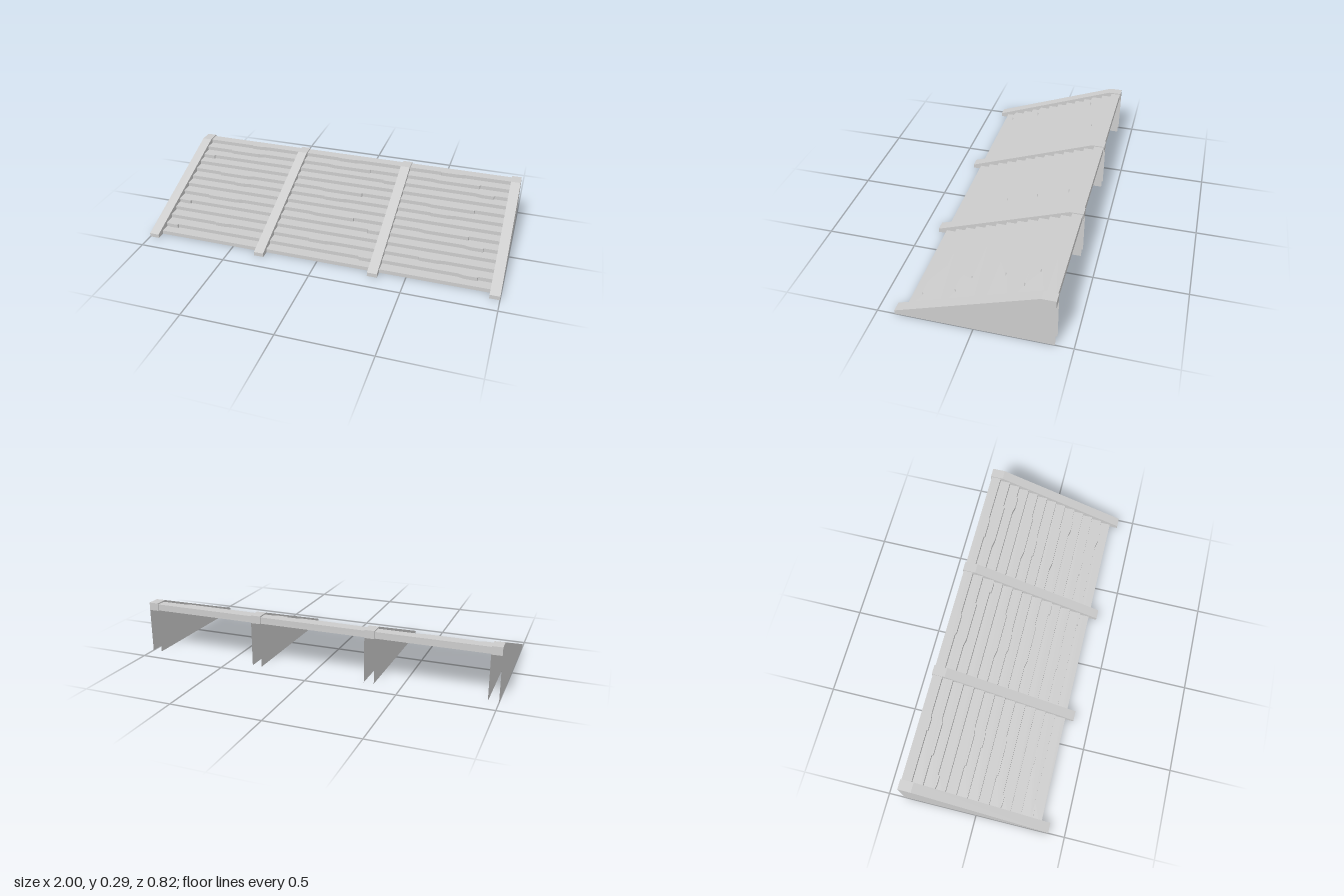
import * as THREE from 'three';

const grey = new THREE.MeshStandardMaterial({ color: 0xcccccc, side: THREE.DoubleSide });
grey.name = 'plain grey';

const ROWS = 13, RUN = 0.059, RISE = 0.0219, FRONT = 0.36, BACK = -0.403;
const HALF = 0.99, RIB = 0.055;

// Chips along a plank's front edge: [abrupt end x, gentle end x, depth]
const STRAIGHT = [];
const SLIGHT = [[-0.66, -0.56, 0.006], [-0.09, 0.05, 0.006], [0.54, 0.68, 0.006]];
const MIDDLE = [[-0.78, -0.56, 0.008], [0.125, -0.14, 0.008], [0.78, 0.5, 0.008]];
const OUTER = [[-0.87, -0.96, 0.009], [0.22, 0.32, 0.009], [0.87, 0.76, 0.009]];
const PATTERNS = [STRAIGHT, OUTER, SLIGHT, STRAIGHT, OUTER, MIDDLE, STRAIGHT,
  SLIGHT, MIDDLE, STRAIGHT, OUTER, MIDDLE, SLIGHT];

// Front edge of row i as [x, z] points from -x to +x; past the last row it is the straight back
function edge(i) {
  if (i === ROWS) return [[-HALF, BACK], [HALF, BACK]];
  const z = FRONT - RUN * i, points = [[-HALF, z]];
  for (const [a, b, d] of PATTERNS[i]) {
    const s = Math.sign(b - a);
    const chip = [[a, z], [a + s * 0.003, z + d], [b - s * 0.04, z + d], [b, z]];
    points.push(...(s > 0 ? chip : chip.reverse()));
  }
  points.push([HALF, z]);
  return points;
}

function add(group, geometry, name) {
  const mesh = new THREE.Mesh(geometry, grey);
  mesh.name = name;
  group.add(mesh);
}

// One thin step: a flat tread and an upright front face
function plank(i) {
  const group = new THREE.Group();
  group.name = 'plank' + (i + 1);
  const front = edge(i), y = RISE * (i + 1);
  const outline = [...front, ...edge(i + 1).reverse()];
  const shape = new THREE.Shape(outline.map(([x, z]) => new THREE.Vector2(x, -z)));
  add(group, new THREE.ShapeGeometry(shape).rotateX(-Math.PI / 2).translate(0, y, 0), 'tread');

  const strip = new THREE.PlaneGeometry(1, 1, front.length - 1, 1);
  front.forEach(([x, z], k) => {
    strip.attributes.position.setXYZ(k, x, y, z);
    strip.attributes.position.setXYZ(k + front.length, x, y - RISE, z);
  });
  const riser = strip.toNonIndexed();
  riser.computeVertexNormals();
  add(group, riser, 'riser');
  return group;
}

// Hollow support: two side plates and a folded cap, open below and behind
function rib(x) {
  const group = new THREE.Group();
  group.name = 'rib';
  const outline = [[0.408, 0], [0.408, 0.022], [-0.335, 0.291], [-0.408, 0.291], [-0.408, 0]];
  const shape = new THREE.Shape(outline.map(([z, y]) => new THREE.Vector2(-z, y)));
  for (const side of [-1, 1]) {
    const plate = new THREE.ShapeGeometry(shape).rotateY(Math.PI / 2);
    add(group, plate.translate(side * RIB / 2, 0, 0), 'sidePlate');
  }
  // Cap strips along the front end, slope, flat top and back lip
  const fold = [...outline.slice(0, 4), [-0.408, 0.247]];
  for (let k = 0; k < 4; k++) {
    const [z0, y0] = fold[k], [z1, y1] = fold[k + 1];
    const g = new THREE.PlaneGeometry(RIB, Math.hypot(z1 - z0, y1 - y0));
    g.rotateX(-Math.atan2(z0 - z1, y1 - y0)).translate(0, (y0 + y1) / 2, (z0 + z1) / 2);
    add(group, g, 'cap');
  }
  group.position.x = x;
  return group;
}

export function createModel() {
  const model = new THREE.Group();
  model.name = 'steppedSlope';
  for (let i = 0; i < ROWS; i++) model.add(plank(i));
  // Upright board closing the top step at the back
  const height = 0.036;
  const board = new THREE.PlaneGeometry(2 * HALF, height).rotateY(Math.PI);
  add(model, board.translate(0, RISE * ROWS - height / 2, BACK), 'backBoard');
  for (const x of [-0.9725, -0.325, 0.325, 0.9725]) model.add(rib(x));
  return model;
}
